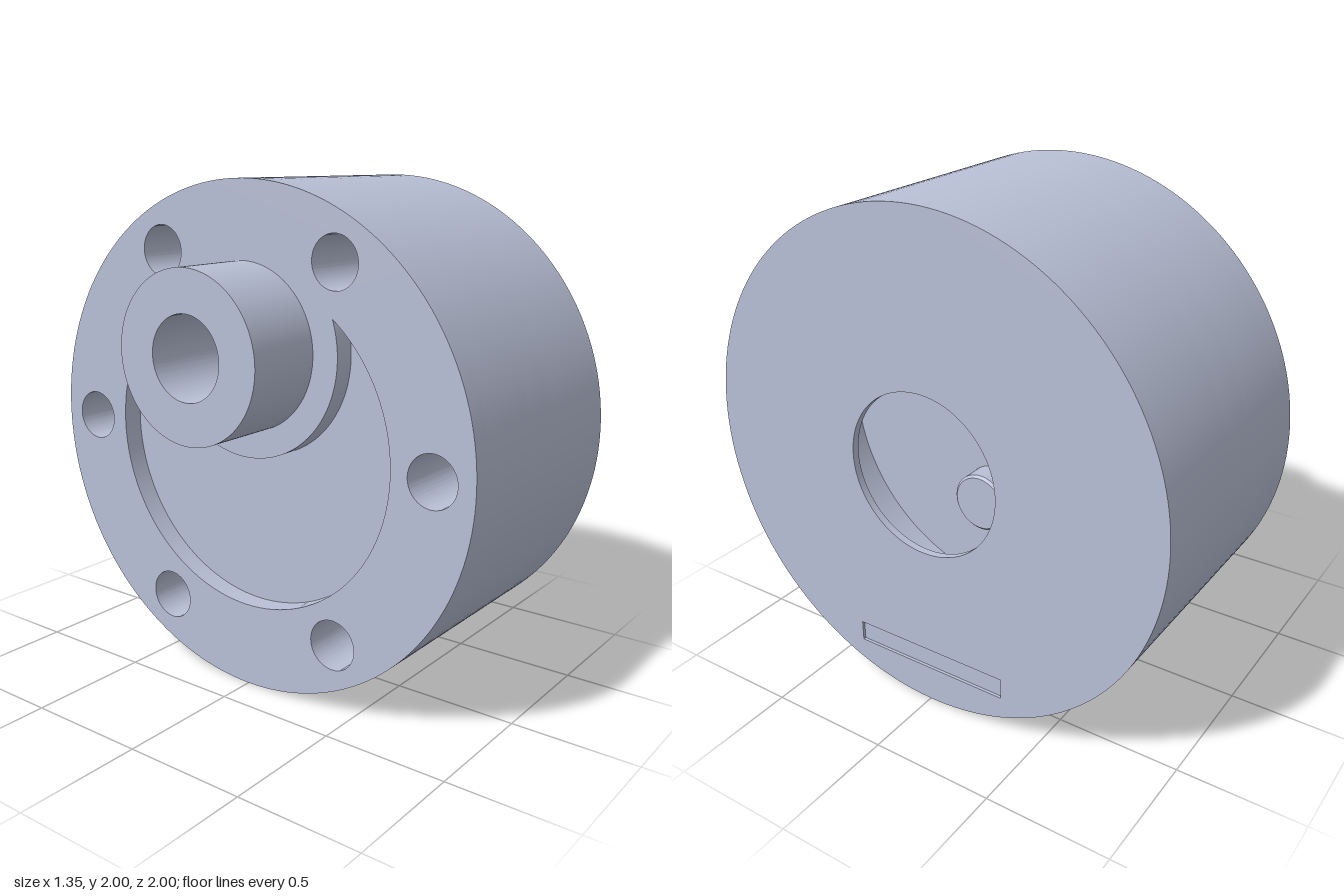
import * as THREE from 'three';
import { toCreasedNormals } from 'three/addons/utils/BufferGeometryUtils.js';

const HUB_Y = 0.38, HUB_R = 0.322, BORE_R = 0.16;    // offset hub, relative to the body axis
const RECESS_R = 0.66, COLLAR_R = 0.43;

const circle = (Type, y, r, x = 0) => {
  const c = new Type();
  c.absarc(x, y, r, 0, Math.PI * 2, false);
  return c;
};
const hole = (r, y = 0, x = 0) => circle(THREE.Path, y, r, x);

// Six bolt holes on a common circle
const boltHoles = () => Array.from({ length: 6 }, (_, i) => {
  const a = i * Math.PI / 3;
  return hole(0.1, 0.83 * Math.sin(a), 0.83 * Math.cos(a));
});

// Round recess, bitten into by the collar around the hub
function crescent() {
  const y = (RECESS_R ** 2 - COLLAR_R ** 2 + HUB_Y ** 2) / (2 * HUB_Y);
  const x = Math.sqrt(RECESS_R ** 2 - y * y);
  const a = Math.atan2(y, x), b = Math.atan2(y - HUB_Y, x);
  const p = new THREE.Path();
  p.absarc(0, 0, RECESS_R, a, Math.PI - a, true);
  p.absarc(0, HUB_Y, COLLAR_R, Math.PI - b, b, false);
  return p;
}

// Narrow engraved slot near the bottom of the closed face
function slot() {
  const p = new THREE.Path();
  p.moveTo(-0.34, -0.85);
  p.lineTo(0.34, -0.85);
  p.lineTo(0.34, -0.765);
  p.lineTo(-0.34, -0.765);
  p.closePath();
  return p;
}

export function createModel() {
  const steel = new THREE.MeshStandardMaterial({ color: 0xb9c0d6 });
  steel.name = 'blue grey steel';
  const model = new THREE.Group();
  model.name = 'eccentricHousing';

  // Disc slice between two x positions, with holes cut along x
  const slice = (name, x0, x1, holes, r = 1, y = 0) => {
    const shape = circle(THREE.Shape, y, r);
    shape.holes.push(...holes);
    const geo = new THREE.ExtrudeGeometry(shape, { depth: x1 - x0, bevelEnabled: false, curveSegments: 80 });
    geo.rotateY(Math.PI / 2);
    geo.translate(x0, 1, 0);
    const mesh = new THREE.Mesh(toCreasedNormals(geo, 0.6), steel);
    mesh.name = name;
    model.add(mesh);
  };
  const bore = () => hole(BORE_R, HUB_Y);

  slice('hub', -0.675, -0.35, [bore()], HUB_R, HUB_Y);
  slice('boltFlange', -0.35, -0.265, [crescent(), bore(), ...boltHoles()]);
  slice('boltedBody', -0.265, 0.05, [bore(), ...boltHoles()]);
  slice('solidBody', 0.05, 0.22, [bore()]);
  slice('cavityWall', 0.22, 0.645, [hole(0.7)]);
  slice('endPlate', 0.645, 0.663, [hole(0.325)]);
  slice('slottedFace', 0.663, 0.675, [hole(0.325), slot()]);

  // Chamfered pin standing on the cavity floor
  const profile = [[0.12, 0], [0.12, 0.09], [0.11, 0.1], [0, 0.1]].map(p => new THREE.Vector2(...p));
  const pinGeo = new THREE.LatheGeometry(profile, 48);
  pinGeo.rotateZ(-Math.PI / 2);
  pinGeo.translate(0.22, 0.722, 0);
  const pin = new THREE.Mesh(toCreasedNormals(pinGeo, 0.6), steel);
  pin.name = 'pin';
  model.add(pin);

  return model;
}
